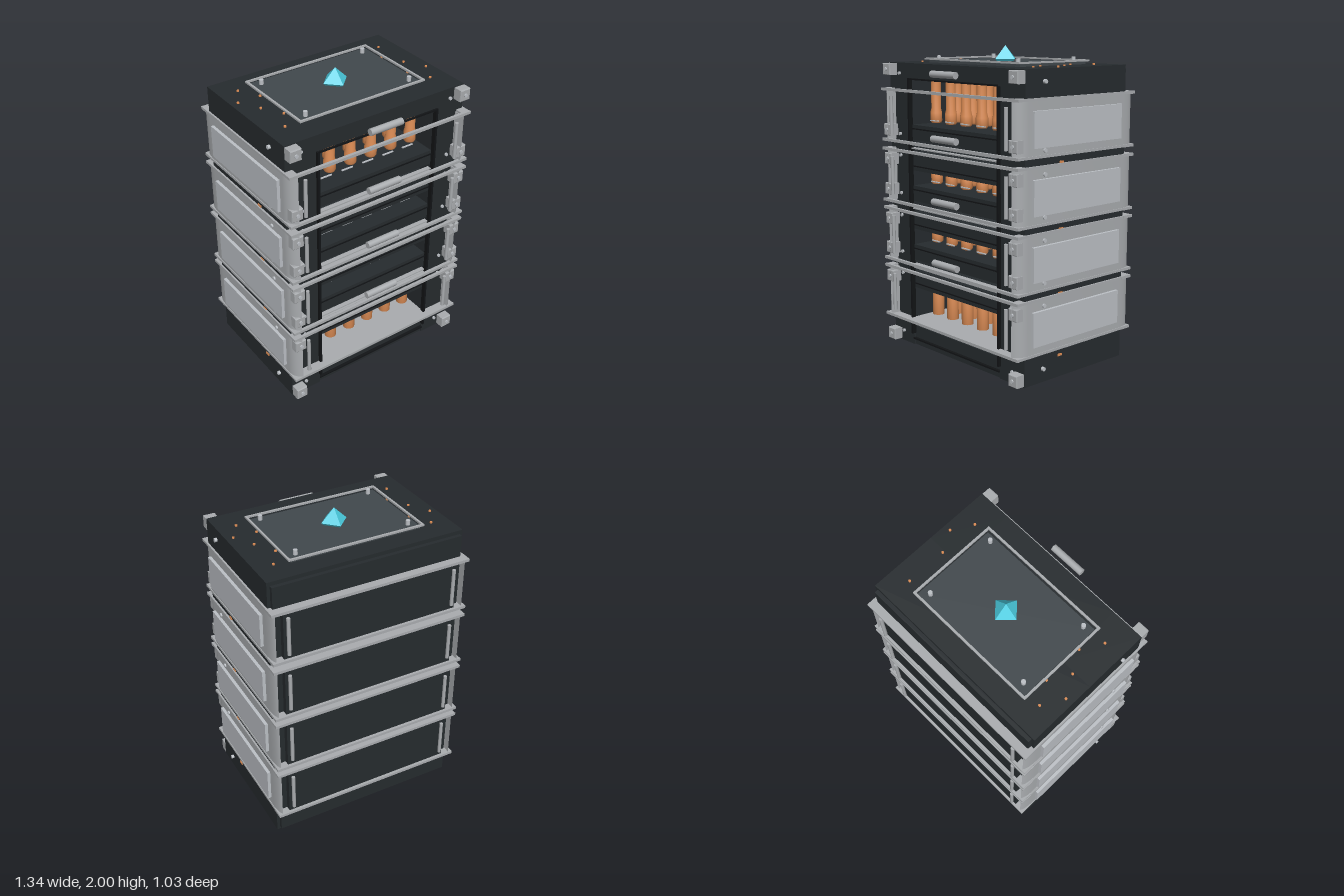
import * as THREE from 'three';
import { toCreasedNormals } from 'three/addons/utils/BufferGeometryUtils.js';

const mat = (name, color) => Object.assign(new THREE.MeshStandardMaterial({ color }), { name });

export function createModel() {
  const root = new THREE.Group();
  root.name = 'bottleCabinet';
  const dark = mat('charcoal', 0x262b2e);
  const black = mat('black', 0x121416);
  const slate = mat('slate', 0x41484c);
  const metal = mat('steel', 0xa9acaf);
  const light = mat('paleSteel', 0xbcc0c5);
  const orange = mat('copper', 0xdc8c54);
  const cyan = Object.assign(mat('cyan', 0x4acbdf), { flatShading: true });

  const add = (name, geo, m, x = 0, y = 0, z = 0) => {
    const mesh = new THREE.Mesh(geo, m);
    mesh.name = name;
    mesh.position.set(x, y, z);
    root.add(mesh);
    return mesh;
  };
  // box given by its limits on each axis
  const box = (name, m, x0, x1, y0, y1, z0, z1) =>
    add(name, new THREE.BoxGeometry(x1 - x0, y1 - y0, z1 - z0), m, (x0 + x1) / 2, (y0 + y1) / 2, (z0 + z1) / 2);
  const disc = (name, m, r, h, x, y, z, axis = 'y') => {
    const d = add(name, new THREE.CylinderGeometry(r, r, h, 12), m, x, y, z);
    if (axis === 'x') d.rotation.z = Math.PI / 2;
    if (axis === 'z') d.rotation.x = Math.PI / 2;
  };

  // cabinet carcass with an open front
  box('backBlock', dark, -0.645, 0.645, 0, 1.885, -0.435, 0);
  box('backPlate', dark, -0.625, 0.625, 0.02, 1.86, -0.46, -0.435);
  box('base', dark, -0.43, 0.43, 0, 0.13, 0, 0.41);
  box('header', dark, -0.43, 0.43, 1.78, 1.885, 0, 0.42);
  for (const s of [-1, 1]) {
    add(s > 0 ? 'leftColumn' : 'rightColumn', new THREE.BoxGeometry(0.215, 1.885, 0.42), dark, s * 0.5375, 0.9425, 0.21);
    add('openingTrim', new THREE.BoxGeometry(0.014, 1.7, 0.03), black, s * 0.43, 0.93, 0.425);
  }
  box('openingTopTrim', black, -0.43, 0.43, 1.78, 1.79, 0.435, 0.447);
  box('openingBottomTrim', black, -0.43, 0.43, 0.04, 0.05, 0.41, 0.43);

  // side panel cross-section, curled round at both ends
  const panelShape = (s) => {
    const p = new THREE.Shape();
    p.moveTo(s * 0.59, -0.42);
    p.lineTo(s * 0.6, -0.485);
    p.quadraticCurveTo(s * 0.648, -0.46, s * 0.652, -0.4);
    p.lineTo(s * 0.652, 0.41);
    p.quadraticCurveTo(s * 0.65, 0.48, s * 0.632, 0.503);
    p.lineTo(s * 0.632, 0.42);
    p.closePath();
    return p;
  };

  // four sleeves edged with rails; only the lowest has a full floor
  const modules = [[0.186, 0.525], [0.578, 0.923], [0.976, 1.32], [1.38, 1.712]];
  box('floorPlate', metal, -0.65, 0.65, 0.179, 0.193, -0.5, 0.48);
  for (const [lo, hi] of modules) {
    const mid = (lo + hi) / 2;
    for (const y of [lo, hi]) {
      box('backRail', metal, -0.658, 0.658, y - 0.009, y + 0.009, -0.513, -0.43);
      box('frontRail', metal, -0.658, 0.658, y - 0.009, y + 0.009, 0.468, 0.488);
      for (const s of [-1, 1]) add('sideRail', new THREE.BoxGeometry(0.06, 0.016, 0.98), metal, s * 0.627, y, -0.015);
    }
    box('sleeveBack', dark, -0.58, 0.58, lo, hi, -0.495, -0.435);
    for (const s of [-1, 1]) {
      const geo = new THREE.ExtrudeGeometry(panelShape(s), { depth: hi - lo - 0.01, bevelEnabled: false, curveSegments: 8 });
      geo.rotateX(-Math.PI / 2);
      add('sidePanel', toCreasedNormals(geo, 0.6), metal, 0, lo + 0.005, 0);
      add('sideInset', new THREE.BoxGeometry(0.022, 0.215, 0.75), light, s * 0.661, mid - 0.005, -0.002);
      for (const z of [-0.508, 0.485]) {
        add(z > 0 ? 'frontUprightBar' : 'backUprightBar', new THREE.CylinderGeometry(0.012, 0.012, 0.25, 10), metal, s * 0.553, mid, z);
      }
      // copper tab in the gap below the sleeve
      add('copperTab', new THREE.BoxGeometry(0.01, 0.014, 0.034), orange, s * 0.645, lo - 0.046, 0.125);
    }
  }

  // fine rails in the gaps of the opening
  for (const y of [0.155, 0.54, 0.562, 0.94, 0.958, 1.337, 1.36]) {
    box('gapRail', metal, -0.42, 0.42, y - 0.004, y + 0.004, 0.395, 0.425);
  }

  // corner brackets with their bolts
  const bracket = new THREE.Shape();
  bracket.moveTo(-0.033, -0.033);
  bracket.lineTo(0.033, -0.033);
  bracket.lineTo(0.033, 0.033);
  bracket.lineTo(-0.033, 0.033);
  const bracketGeo = new THREE.ExtrudeGeometry(bracket, {
    depth: 0.05, bevelEnabled: true, bevelSize: 0.005, bevelThickness: 0.008, bevelSegments: 2,
  });
  const levels = [0.048, 0.455, 0.652, 0.852, 1.052, 1.255, 1.447, 1.842];
  levels.forEach((y, i) => {
    for (const s of [-1, 1]) {
      add('cornerBracket', bracketGeo, metal, s * 0.607, y, 0.425);
      disc('bracketBolt', light, 0.012, 0.012, s * 0.607, y, 0.485, 'z');
      disc('frontBolt', light, 0.011, 0.014, s * 0.54, y + (i % 2 ? 0.025 : -0.025) * (i === 0 || i === 7 ? -1 : 1), 0.424, 'z');
    }
  });
  // bolts on the sides
  for (const y of [0.085, 0.482, 0.622, 0.88, 1.02, 1.275, 1.415, 1.812]) {
    for (const s of [-1, 1]) disc('sideBolt', light, 0.013, 0.03, s * 0.647, y, 0.27, 'x');
  }

  // pull handles
  const handleGeo = new THREE.CylinderGeometry(0.022, 0.022, 0.23, 14);
  handleGeo.rotateZ(Math.PI / 2);
  for (const y of [0.638, 1.034, 1.431, 1.83]) add('handle', handleGeo, metal, 0, y, 0.491);

  // drawers below each upper row of bottles
  for (const [y0, y1] of [[0.59, 0.695], [0.988, 1.09], [1.392, 1.49]]) {
    box('drawer', dark, -0.42, 0.42, y0, y1, 0, 0.415);
    box('drawerLip', black, -0.42, 0.42, y1 - 0.03, y1 - 0.022, 0.41, 0.42);
    // small clips along the drawer
    for (let i = 0; i < 5; i++) {
      const x = -0.304 + i * 0.152;
      box('clip', light, x - 0.04, x + 0.04, y1 + 0.024, y1 + 0.03, 0.32, 0.33);
    }
  }
  // dark fascias hiding the bottle tops
  for (const [y0, y1] of [[0.4, 0.515], [0.8, 0.913], [1.19, 1.31]]) {
    box('fascia', dark, -0.42, 0.42, y0, y1, 0.2, 0.412);
    box('fasciaLine', black, -0.42, 0.42, y0 + 0.025, y0 + 0.033, 0.41, 0.416);
  }

  // two staggered rows of copper bottles on each level
  const bottle = (y0, shoulder, y1) => toCreasedNormals(new THREE.LatheGeometry([
    [0, y0], [0.032, y0], [0.039, y0 + 0.012], [0.039, shoulder - 0.02],
    [0.032, shoulder + 0.01], [0.032, y1 - 0.008], [0.024, y1], [0, y1],
  ].map(([r, y]) => new THREE.Vector2(r, y)), 16), 0.7);
  const rows = [bottle(0.13, 0.39, 0.43), bottle(0.695, 0.775, 0.88), bottle(1.09, 1.17, 1.28), bottle(1.495, 1.58, 1.77)];
  for (const geo of rows) {
    for (let i = 0; i < 11; i++) add('bottle', geo, orange, -0.38 + i * 0.076, 0, i % 2 ? 0.13 : 0.25);
  }

  // lid plate, its frame and bolts
  box('lidPlate', slate, -0.43, 0.43, 1.88, 1.9, -0.3, 0.26);
  for (const s of [-1, 1]) {
    box('lidFrameSide', metal, s * 0.443 - 0.007, s * 0.443 + 0.007, 1.903, 1.914, -0.315, 0.285);
    const z = s > 0 ? 0.279 : -0.31;
    box('lidFrameEnd', metal, -0.45, 0.45, 1.903, 1.914, z - 0.007, z + 0.007);
    for (const bz of [-0.25, 0.225]) disc('lidBolt', light, 0.014, 0.035, s * 0.375, 1.913, bz);
    for (const [x, dz] of [[0.525, -0.275], [0.45, -0.145], [0.525, -0.015], [0.45, 0.115], [0.525, 0.245]]) {
      disc('copperRivet', orange, 0.008, 0.016, s * x, 1.886, dz);
    }
    disc('outerRivet', orange, 0.008, 0.016, s * 0.6, 1.886, s > 0 ? 0.115 : -0.145);
  }

  // cyan crystal
  add('crystal', new THREE.OctahedronGeometry(0.086), cyan, 0, 1.914, -0.016);
  return root;
}
